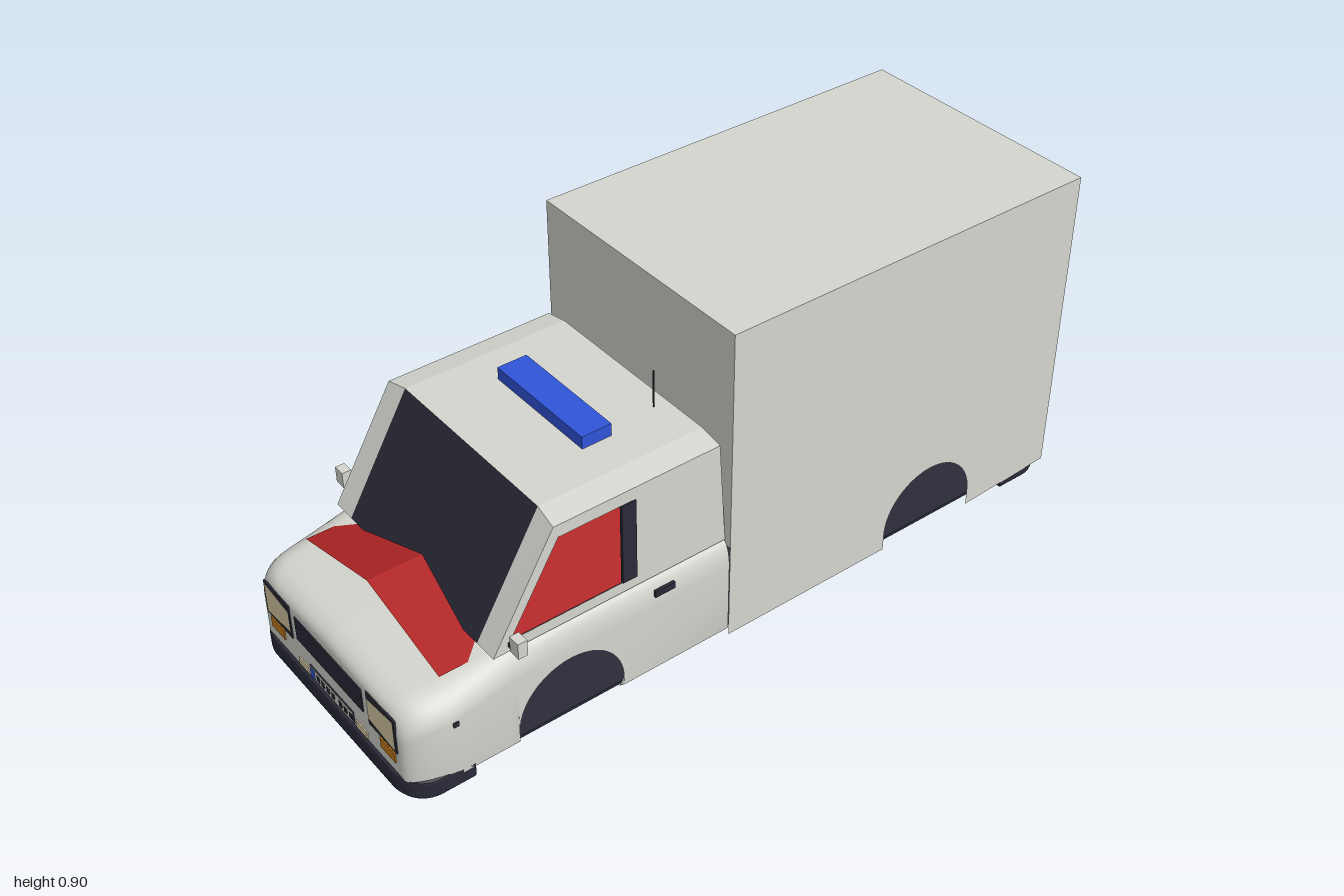
import * as THREE from 'three';

const mat = (name, color, side = THREE.DoubleSide) => {
  const m = new THREE.MeshStandardMaterial({ color, side });
  m.name = name;
  return m;
};
const clamp = (v) => Math.min(1, Math.max(0, v));
const round = (t) => 1 - Math.sqrt(1 - clamp(t) ** 2);

const ARCH = { r: 0.147, y: 0.062, front: 0.56, rear: -0.555 };
const SILL = 0.015;

export function createModel() {
  const paint = mat('body paint', 0xd4d5ce);
  const dark = mat('dark trim', 0x2a2a38);
  const blue = mat('beacon blue', 0x3054d8);
  const cream = mat('lamp cream', 0xdccda6);
  const orange = mat('indicator orange', 0xc67c20);
  const red = mat('red', 0xb02424);

  const model = new THREE.Group();
  model.name = 'boxVan';
  const add = (name, geo, m) => {
    const mesh = new THREE.Mesh(geo, m);
    mesh.name = name;
    model.add(mesh);
    return mesh;
  };
  // Box given by its limits on each axis
  const box = (name, m, x0, x1, y0, y1, z0, z1) => {
    const mesh = add(name, new THREE.BoxGeometry(x1 - x0, y1 - y0, z1 - z0), m);
    mesh.position.set((x0 + x1) / 2, (y0 + y1) / 2, (z0 + z1) / 2);
    return mesh;
  };
  // Flat four-cornered panel
  const quad = (name, m, a, b, c, d) => {
    const g = new THREE.BufferGeometry();
    g.setAttribute('position', new THREE.Float32BufferAttribute([...a, ...b, ...c, ...a, ...c, ...d], 3));
    g.computeVertexNormals();
    return add(name, g, m);
  };
  const outline = (pts) => new THREE.Shape(pts.map(([x, y]) => new THREE.Vector2(x, y)));
  // Flat panel drawn in (z, y), standing at a given x
  const sidePanel = (name, shape, x, m) => {
    const g = new THREE.ShapeGeometry(shape, 32);
    g.rotateY(-Math.PI / 2);
    g.translate(x, 0, 0);
    return add(name, g, m);
  };

  // Lower front body: half sections lofted along z, with the wheel arch cut from the lower edge
  const stations = [0.1, 0.25, ARCH.front - ARCH.r].map((z) => [z, SILL]);
  for (let i = 0; i <= 24; i++) {
    const a = Math.PI * (1 - i / 24);
    stations.push([ARCH.front + ARCH.r * Math.cos(a), ARCH.y + ARCH.r * Math.sin(a)]);
  }
  [ARCH.front + ARCH.r, 0.74, 0.78, 0.82, 0.86, 0.89, 0.915, 0.935, 0.95, 0.963, 0.973, 0.98, 0.984, 0.985]
    .forEach((z) => stations.push([z, SILL]));
  const section = ([z, y0]) => {
    const w = 0.353 - 0.055 * round((z - 0.86) / 0.125);
    const h = 0.31 - 0.035 * clamp((z - 0.7) / 0.2) - 0.045 * round((z - 0.9) / 0.085);
    const rh = 0.025 + 0.055 * clamp((z - 0.6) / 0.25), rv = 0.07, hs = h - 0.008;
    const pts = [[w - (y0 < 0.03 ? 0.02 : 0), y0], [w, Math.max(y0, 0.035)]];
    for (let i = 0; i <= 8; i++) {
      const a = (i / 8) * Math.PI / 2;
      pts.push([w - rh + rh * Math.cos(a), hs - rv + rv * Math.sin(a)]);
    }
    pts.push([(w - rh) / 2, h - 0.002], [0, h]);
    return pts;
  };
  const sections = stations.map(section);
  const K = sections[0].length;
  for (const s of [1, -1]) {
    const pos = [], idx = [];
    sections.forEach((sec, i) => sec.forEach(([x, y]) => pos.push(s * x, y, stations[i][0])));
    for (let i = 0; i < stations.length - 1; i++) {
      const top = stations[i][0] < 0.735 ? K - 3 : K - 1; // open under the cab
      for (let j = 0; j < top; j++) {
        const a = i * K + j, b = a + 1, c = a + K, d = c + 1;
        if (s > 0) idx.push(a, b, c, b, d, c);
        else idx.push(a, c, b, b, c, d);
      }
    }
    const g = new THREE.BufferGeometry();
    g.setAttribute('position', new THREE.Float32BufferAttribute(pos, 3));
    g.setIndex(idx);
    g.computeVertexNormals();
    add(s > 0 ? 'frontBodyLeft' : 'frontBodyRight', g, paint);
  }
  // Nose panel closing the front section
  const last = sections[sections.length - 1];
  const nose = new THREE.ShapeGeometry(outline([...last, ...last.slice(0, -1).reverse().map(([x, y]) => [-x, y])]));
  nose.translate(0, 0, 0.985);
  add('nosePanel', nose, paint);

  // Cargo box
  const X = 0.355, Z0 = -0.985, Z1 = 0.1, H = 0.9;
  const side = new THREE.Shape();
  side.moveTo(Z0, 0.03);
  side.lineTo(ARCH.rear - ARCH.r, SILL);
  side.lineTo(ARCH.rear - ARCH.r, ARCH.y);
  side.absarc(ARCH.rear, ARCH.y, ARCH.r, Math.PI, 0, true);
  side.lineTo(ARCH.rear + ARCH.r, SILL);
  side.lineTo(Z1, SILL);
  side.lineTo(Z1, H);
  side.lineTo(Z0, H);
  sidePanel('cargoSideLeft', side, X, paint);
  sidePanel('cargoSideRight', side, -X, paint);
  quad('cargoRoof', paint, [-X, H, Z1], [X, H, Z1], [X, H, Z0], [-X, H, Z0]);
  quad('cargoFront', paint, [-X, 0.29, Z1], [X, 0.29, Z1], [X, H, Z1], [-X, H, Z1]);
  quad('cargoBack', paint, [X, 0.03, Z0], [-X, 0.03, Z0], [-X, H, Z0], [X, H, Z0]);

  // Floor
  box('floor', dark, -0.325, 0.325, 0.01, 0.018, -0.96, 0.96);

  // Red ridged liner running under the cab and cargo box
  for (const s of [1, -1]) {
    quad('redLiner', red, [0, 0.361, 0.865], [s * 0.29, 0.286, 0.865], [s * 0.29, 0.286, -0.86], [0, 0.361, -0.86]);
  }

  // Cab
  const cx = 0.335, gx = 0.27, base = 0.305, eave = 0.594, top = 0.607;
  const cabSide = outline([[0.752, base], [0.58, eave], [0.12, eave], [0.1, base]]);
  cabSide.holes.push(new THREE.Path([[0.705, 0.335], [0.568, 0.56], [0.36, 0.56], [0.36, 0.335]]
    .map(([z, y]) => new THREE.Vector2(z, y))));
  for (const s of [1, -1]) {
    sidePanel('cabSide', cabSide, s * cx, paint);
    quad('windscreenPillar', paint, [s * gx, base, 0.752], [s * cx, base, 0.752], [s * cx, eave, 0.58], [s * gx, top, 0.574]);
    quad('roofEdge', paint, [s * gx, top, 0.574], [s * cx, eave, 0.58], [s * cx, eave, 0.12], [s * gx, top, 0.12]);
    box('doorPillar', dark, s * cx - 0.004, s * cx + 0.004, 0.335, 0.56, 0.36, 0.4);
    // Mirrors
    box('mirrorArm', dark, Math.min(s * 0.33, s * 0.372), Math.max(s * 0.33, s * 0.372), 0.32, 0.332, 0.7, 0.712);
    box('mirror', paint, Math.min(s * 0.355, s * 0.388), Math.max(s * 0.355, s * 0.388), 0.326, 0.37, 0.695, 0.72);
    // Door handle and side marker
    box('doorHandle', dark, s * 0.354 - 0.004, s * 0.354 + 0.004, 0.261, 0.279, 0.265, 0.322);
    box('sideMarker', dark, s * 0.352 - 0.004, s * 0.352 + 0.004, 0.187, 0.2, 0.862, 0.876);
  }
  quad('windscreen', dark, [-gx, base, 0.752], [gx, base, 0.752], [gx, top, 0.574], [-gx, top, 0.574]);
  quad('cabRoof', paint, [-gx, top, 0.574], [gx, top, 0.574], [gx, top, 0.12], [-gx, top, 0.12]);
  quad('cabBack', paint, [cx, base, 0.101], [-cx, base, 0.101], [-cx, eave, 0.12], [cx, eave, 0.12]);
  quad('cabBackTop', paint, [cx, eave, 0.12], [-cx, eave, 0.12], [-gx, top, 0.12], [gx, top, 0.12]);
  box('lightBar', blue, -0.168, 0.168, 0.605, 0.641, 0.3, 0.382);
  const antenna = add('antenna', new THREE.CylinderGeometry(0.002, 0.002, 0.105, 8), dark);
  antenna.position.set(0.141, 0.657, 0.16);

  // Bumpers: rounded plan shape extruded upwards
  const b = new THREE.Shape();
  b.moveTo(-0.346, 0.835);
  b.lineTo(0.346, 0.835);
  b.lineTo(0.346, 0.92);
  b.quadraticCurveTo(0.34, 0.978, 0.27, 0.988);
  b.lineTo(-0.27, 0.988);
  b.quadraticCurveTo(-0.34, 0.978, -0.346, 0.92);
  const bumper = new THREE.ExtrudeGeometry(b, {
    depth: 0.035, bevelThickness: 0.009, bevelSize: 0.007, bevelSegments: 2, curveSegments: 10,
  });
  bumper.rotateX(Math.PI / 2);
  bumper.translate(0, 0.044, 0);
  add('frontBumper', bumper, dark);
  const rear = add('rearBumper', bumper, dark);
  rear.rotation.y = Math.PI;
  rear.position.z = -0.005;

  // Front lamps and grille
  const F = 0.985;
  const plate = (name, m, x0, x1, y0, y1, lift = 0) => box(name, m, x0, x1, y0, y1, F - 0.002, F + 0.003 + lift);
  plate('grille', dark, -0.149, 0.149, 0.141, 0.21);
  for (const s of [1, -1]) {
    const span = (a, c) => [Math.min(s * a, s * c), Math.max(s * a, s * c)];
    plate('headlampFrame', dark, ...span(0.172, 0.291), 0.124, 0.225);
    const z = F + 0.0045;
    quad('headlamp', cream, [s * 0.175, 0.143, z], [s * 0.286, 0.13, z], [s * 0.286, 0.221, z], [s * 0.175, 0.207, z]);
    plate('indicator', orange, ...span(0.216, 0.279), 0.086, 0.117);
    plate('fogLamp', cream, ...span(0.106, 0.154), 0.058, 0.08);
    // Rear lamps
    box('tailLampFrame', dark, ...span(0.186, 0.3), 0.127, 0.233, Z0 - 0.003, Z0 + 0.002);
    box('tailLamp', red, ...span(0.191, 0.295), 0.132, 0.228, Z0 - 0.005, Z0 + 0.002);
    box('rearIndicator', orange, ...span(0.213, 0.28), 0.068, 0.104, Z0 - 0.003, Z0 + 0.002);
  }

  // Number plates with plain blank blocks
  plate('plateFrame', dark, -0.099, 0.096, 0.06, 0.096);
  plate('numberPlate', paint, -0.097, 0.094, 0.062, 0.094, 0.001);
  plate('plateBand', blue, -0.096, -0.077, 0.064, 0.092, 0.002);
  box('rearPlateBand', blue, -0.096, -0.077, 0.064, 0.092, Z0 - 0.004, Z0);
  for (const x of [-0.06, -0.038, -0.015, 0.008, 0.041, 0.064, 0.087]) {
    plate('plateBlock', dark, x - 0.007, x + 0.007, 0.07, 0.087, 0.002);
    box('rearPlateBlock', dark, x - 0.007, x + 0.007, 0.068, 0.09, Z0 - 0.004, Z0);
  }
  return model;
}
